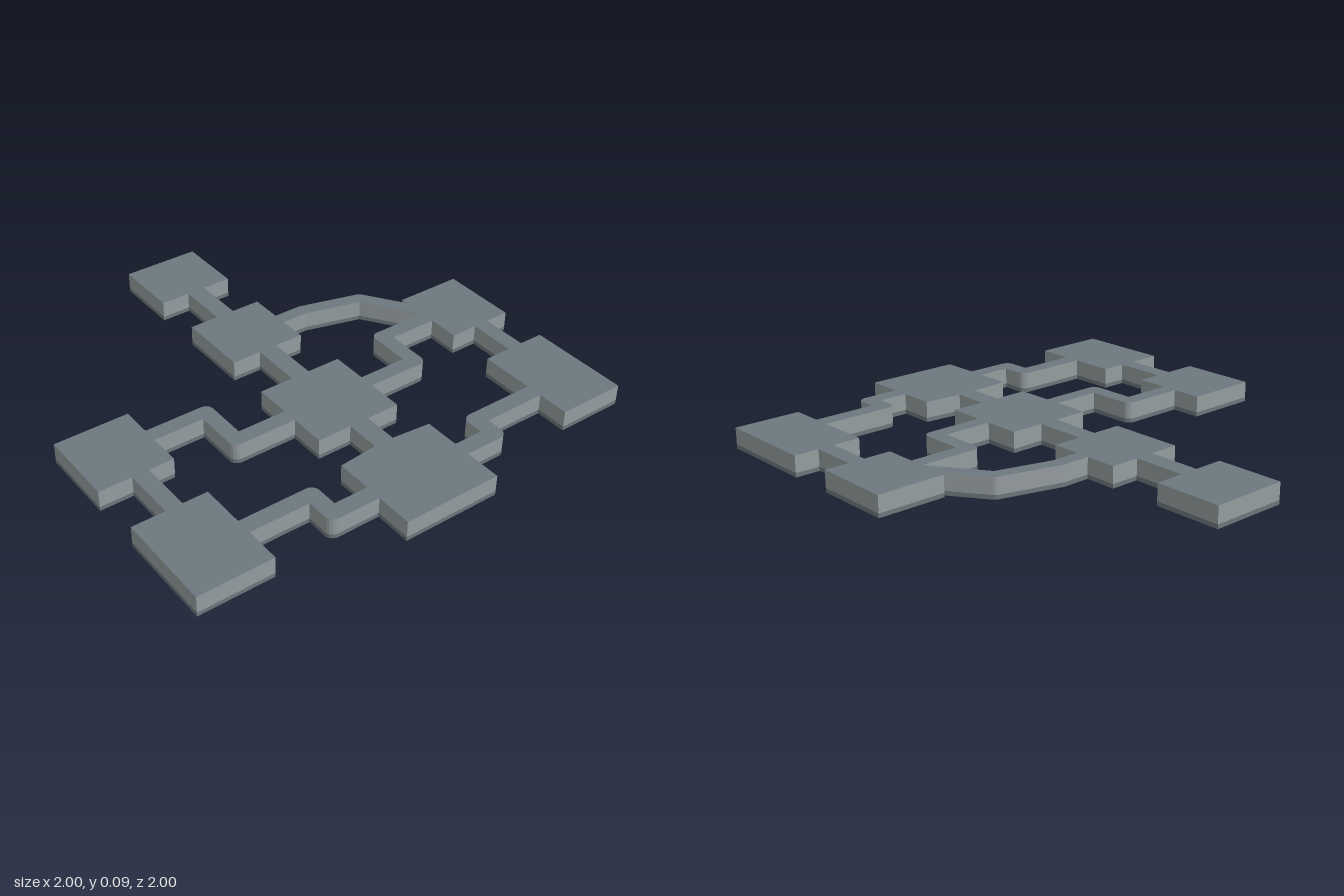
import * as THREE from 'three';
import { mergeGeometries } from 'three/addons/utils/BufferGeometryUtils.js';

const HEIGHT = 0.09, BASE = 0.018;
const V = (x, z) => new THREE.Vector2(x, z);

// Floor plans as [x, z] pairs
const rect = (x0, x1, z0, z1) => [V(x0, z0), V(x1, z0), V(x1, z1), V(x0, z1)];
const rooms = {
  westRoom: rect(-1, -0.707, -0.185, 0.153),
  innerWestRoom: rect(-0.478, -0.158, -0.185, 0.153),
  centralRoom: rect(0.068, 0.45, -0.206, 0.176),
  eastRoom: [V(0.615, -0.228), V(0.997, -0.228), V(0.997, 0.198), V(0.615, 0.198), V(0.6, 0.026), V(0.6, -0.06)],
  backRoom: rect(-0.118, 0.22, -1, -0.704),
  backEastRoom: rect(0.427, 0.87, -1, -0.704),
  frontRoom: rect(-0.118, 0.22, 0.678, 1),
  frontEastRoom: rect(0.449, 0.87, 0.678, 1),
};

// Corridors: half width and centre line; both ends lie on room edges
const corridors = {
  westPassage: [0.041, [V(-0.707, -0.017), V(-0.478, -0.017)]],
  middlePassage: [0.041, [V(-0.158, -0.017), V(0.068, -0.017)]],
  eastPassage: [0.043, [V(0.45, -0.017), V(0.6, -0.017)]],
  backPassage: [0.035, [V(0.22, -0.858), V(0.427, -0.858)]],
  frontPassage: [0.036, [V(0.22, 0.822), V(0.449, 0.822)]],
  backBentPassage: [0.034, [V(0.048, -0.704), V(0.048, -0.456), V(0.26, -0.456), V(0.26, -0.206)]],
  frontBentPassage: [0.034, [V(0.26, 0.176), V(0.26, 0.425), V(0.048, 0.425), V(0.048, 0.678)]],
  backEastBentPassage: [0.036, [V(0.698, -0.704), V(0.698, -0.392), V(0.803, -0.392), V(0.803, -0.228)]],
  frontEastBentPassage: [0.036, [V(0.803, 0.198), V(0.803, 0.382), V(0.679, 0.382), V(0.679, 0.678)]],
  diagonalPassage: [0.03, [V(-0.035, -0.704), V(-0.24, -0.563), V(-0.31, -0.305), V(-0.31, -0.185)]],
};

// Direction of the room edge that a point lies on
function edgeAt(p) {
  for (const poly of Object.values(rooms)) {
    for (let i = 0; i < poly.length; i++) {
      const a = poly[i], d = poly[(i + 1) % poly.length].clone().sub(a);
      const len = d.length(), r = p.clone().sub(a);
      d.divideScalar(len);
      const t = r.dot(d);
      if (Math.abs(r.cross(d)) < 0.002 && t > 0 && t < len) return d;
    }
  }
  return null;
}

// One side of a corridor: mitred on the inside of a bend, rounded on the outside
function corridorSide(path, w, side) {
  const dirs = path.slice(1).map((p, i) => p.clone().sub(path[i]).normalize());
  const normals = dirs.map((d) => V(-d.y, d.x));
  const pts = [];
  path.forEach((p, i) => {
    const n1 = normals[i - 1], n2 = normals[i];
    if (!n1 || !n2) {
      const n = n1 || n2, t = edgeAt(p) || n;
      pts.push(p.clone().addScaledVector(t, side * w / n.dot(t)));
    } else if (dirs[i - 1].cross(dirs[i]) * side > 0) {
      pts.push(p.clone().addScaledVector(n1.clone().add(n2), side * w / (1 + n1.dot(n2))));
    } else {
      for (let k = 0; k <= 5; k++) {
        const n = n1.clone().lerp(n2, k / 5).normalize();
        pts.push(p.clone().addScaledVector(n, side * w));
      }
    }
  });
  return pts;
}

// Upright panel between two plan points
function panel(a, b, y0, y1) {
  const g = new THREE.PlaneGeometry(a.distanceTo(b), y1 - y0);
  g.rotateY(-Math.atan2(b.y - a.y, b.x - a.x));
  return g.translate((a.x + b.x) / 2, (y0 + y1) / 2, (a.y + b.y) / 2);
}

// Wall segments of a room, leaving doorways open
function roomWalls(poly, doors) {
  const segments = [];
  poly.forEach((a, i) => {
    const b = poly[(i + 1) % poly.length];
    const d = b.clone().sub(a), len = d.length();
    d.divideScalar(len);
    const gaps = [];
    for (const [p, q] of doors) {
      const r = p.clone().add(q).multiplyScalar(0.5).sub(a);
      const t = r.dot(d);
      if (Math.abs(r.cross(d)) < 0.002 && t > 0 && t < len) {
        const half = p.distanceTo(q) / 2;
        gaps.push([t - half, t + half]);
      }
    }
    gaps.sort((g, h) => g[0] - h[0]);
    let from = 0;
    for (const [g0, g1] of [...gaps, [len, len]]) {
      if (g0 - from > 0.002) {
        segments.push([a.clone().addScaledVector(d, from), a.clone().addScaledVector(d, g0)]);
      }
      from = g1;
    }
  });
  return segments;
}

export function createModel() {
  const model = new THREE.Group();
  model.name = 'roomComplex';
  const material = (name, color) => {
    const m = new THREE.MeshStandardMaterial({ color, side: THREE.DoubleSide });
    m.name = name;
    return m;
  };
  const roofMat = material('slateRoof', 0x6c797f);
  const wallMat = material('greyWall', 0x949c9f);
  const baseMat = material('darkBase', 0x6c7679);

  // Open-bottomed shell: roof, walls and a dark strip at the foot
  function addPart(name, outline, segments) {
    const part = new THREE.Group();
    part.name = name;
    const add = (label, geometry, mat) => {
      const mesh = new THREE.Mesh(geometry, mat);
      mesh.name = label;
      part.add(mesh);
    };
    const roof = new THREE.ShapeGeometry(new THREE.Shape(outline.map((p) => V(p.x, -p.y))));
    add('roof', roof.rotateX(-Math.PI / 2).translate(0, HEIGHT, 0), roofMat);
    // ShapeGeometry always winds upward, so the roof faces +y
    add('walls', mergeGeometries(segments.map(([a, b]) => panel(a, b, BASE, HEIGHT))), wallMat);
    add('baseStrip', mergeGeometries(segments.map(([a, b]) => panel(a, b, 0, BASE))), baseMat);
    model.add(part);
  }

  // Corridors, collecting a doorway at each end
  const doors = [];
  for (const [name, [w, path]] of Object.entries(corridors)) {
    const left = corridorSide(path, w, 1), right = corridorSide(path, w, -1);
    doors.push([left[0], right[0]], [left[left.length - 1], right[right.length - 1]]);
    const segments = [left, right].flatMap((s) => s.slice(1).map((p, i) => [s[i], p]));
    addPart(name, [...left, ...right.reverse()], segments);
  }

  // Rooms
  for (const [name, poly] of Object.entries(rooms)) addPart(name, poly, roomWalls(poly, doors));
  return model;
}
